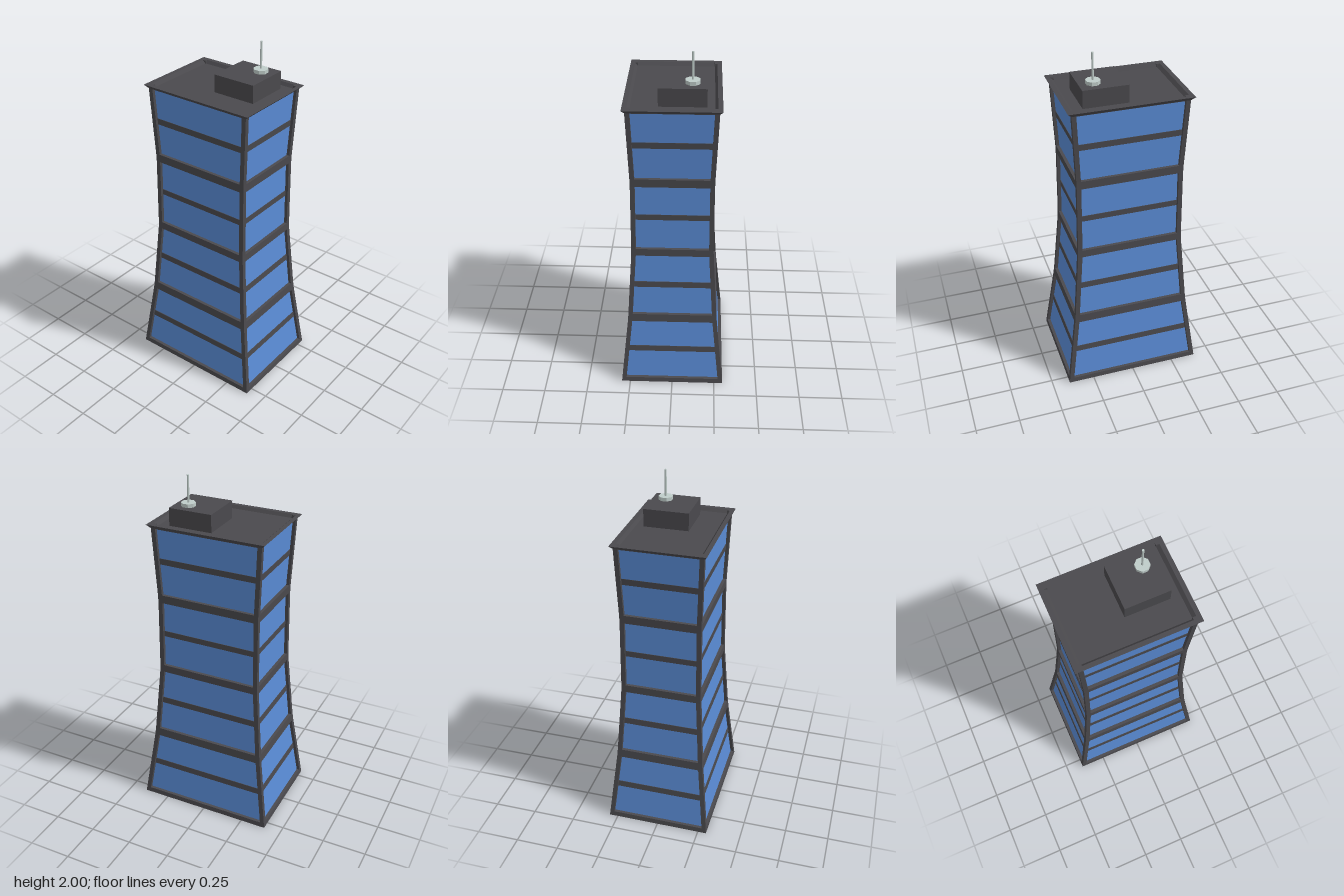
import * as THREE from 'three';

// Tower profile: [height, half width, half depth]
const LEVELS = [
  [0, 0.4, 0.3], [0.44, 0.34, 0.255], [0.875, 0.304, 0.228], [1.315, 0.3, 0.225], [1.75, 0.32, 0.24],
];
// Corners in counterclockwise order seen from above
const CORNERS = [[1, 1], [1, -1], [-1, -1], [-1, 1]];
const INSET = 0.018;
const POST = 0.025;

// Half width and half depth of the tower at height y
function sizeAt(y) {
  const i = Math.max(0, Math.min(LEVELS.length - 2, LEVELS.findIndex((l) => l[0] > y) - 1));
  const a = LEVELS[i];
  const b = LEVELS[i + 1];
  const t = y >= 1.75 ? 1 : (y - a[0]) / (b[0] - a[0]);
  return [a[1] + (b[1] - a[1]) * t, a[2] + (b[2] - a[2]) * t];
}

// Joins four-point cross-sections; flat shaded, closed into a loop or capped
function loft(sections, loop = false) {
  const pos = [];
  const quad = (a, b, c, d) => pos.push(...a, ...b, ...c, ...a, ...c, ...d);
  const n = sections.length;
  for (let i = 0; i < (loop ? n : n - 1); i++) {
    const s = sections[i];
    const t = sections[(i + 1) % n];
    for (let j = 0; j < 4; j++) quad(s[j], s[(j + 1) % 4], t[(j + 1) % 4], t[j]);
  }
  if (!loop) {
    const s = sections[0];
    quad(s[3], s[2], s[1], s[0]);
    quad(...sections[n - 1]);
  }
  const geo = new THREE.BufferGeometry();
  geo.setAttribute('position', new THREE.Float32BufferAttribute(pos, 3));
  geo.computeVertexNormals();
  return geo;
}

// Rectangular ring following the tower walls between two inset distances
function ring(y0, y1, outer, inner) {
  const point = ([sx, sz], y, inset) => {
    const [w, d] = sizeAt(y);
    return [sx * (w - inset), y, sz * (d - inset)];
  };
  return loft(CORNERS.map((c) => [
    point(c, y0, outer), point(c, y0, inner), point(c, y1, inner), point(c, y1, outer),
  ]), true);
}

export function createModel() {
  const model = new THREE.Group();
  const frame = new THREE.MeshStandardMaterial({ name: 'charcoal', color: 0x4a494d });
  const glass = new THREE.MeshStandardMaterial({ name: 'blue glass', color: 0x5a8cd6 });
  const metal = new THREE.MeshStandardMaterial({ name: 'pale metal', color: 0xbfccc9 });
  const add = (name, geo, mat, x = 0, y = 0, z = 0) => {
    const mesh = new THREE.Mesh(geo, mat);
    mesh.name = name;
    mesh.position.set(x, y, z);
    model.add(mesh);
    return mesh;
  };

  // Glass body, stopping just under the roof
  add('glassBody', loft(LEVELS.map(([y, w, d]) => CORNERS.map(([sx, sz]) => [
    sx * (w - INSET), Math.min(Math.max(y, 0.002), 1.725), sz * (d - INSET),
  ]))), glass);

  // Blue underside
  const base = add('underside', new THREE.PlaneGeometry(0.79, 0.59), glass, 0, -0.0005, 0);
  base.rotation.x = Math.PI / 2;

  // Corner posts
  CORNERS.forEach(([sx, sz]) => {
    const h = POST / 2;
    add('cornerPost', loft(LEVELS.map(([y, w, d]) => CORNERS.map(([px, pz]) => [
      sx * (w - h) + px * h, y, sz * (d - h) + pz * h,
    ]))), frame);
  });

  // Floor rings standing proud of the glass
  [[0, 0.028], [0.417, 0.465], [0.855, 0.898], [1.293, 1.34], [1.73, 1.75]].forEach(([y0, y1]) => {
    add('floorRing', ring(y0, y1, 0, POST), frame);
  });

  // Thin bands halfway up each storey
  [[0.205, 0.24], [0.64, 0.676], [1.08, 1.113], [1.52, 1.555]].forEach(([y0, y1]) => {
    add('midBand', ring(y0, y1, INSET - 0.003, INSET + 0.005), frame);
  });

  // Recessed roof and plant room
  add('roof', new THREE.BoxGeometry(0.61, 0.012, 0.45), frame, 0, 1.727, 0);
  add('plantRoom', new THREE.BoxGeometry(0.248, 0.1, 0.25), frame, 0.119, 1.782, -0.05);

  // Antenna
  const disc = new THREE.CylinderGeometry(0.04, 0.04, 0.02, 8).toNonIndexed();
  disc.rotateY(Math.PI / 8);
  disc.computeVertexNormals();
  add('antennaBase', disc, metal, 0.166, 1.842, -0.1);
  add('antennaMast', new THREE.CylinderGeometry(0.006, 0.006, 0.15, 8), metal, 0.166, 1.925, -0.1);

  return model;
}
